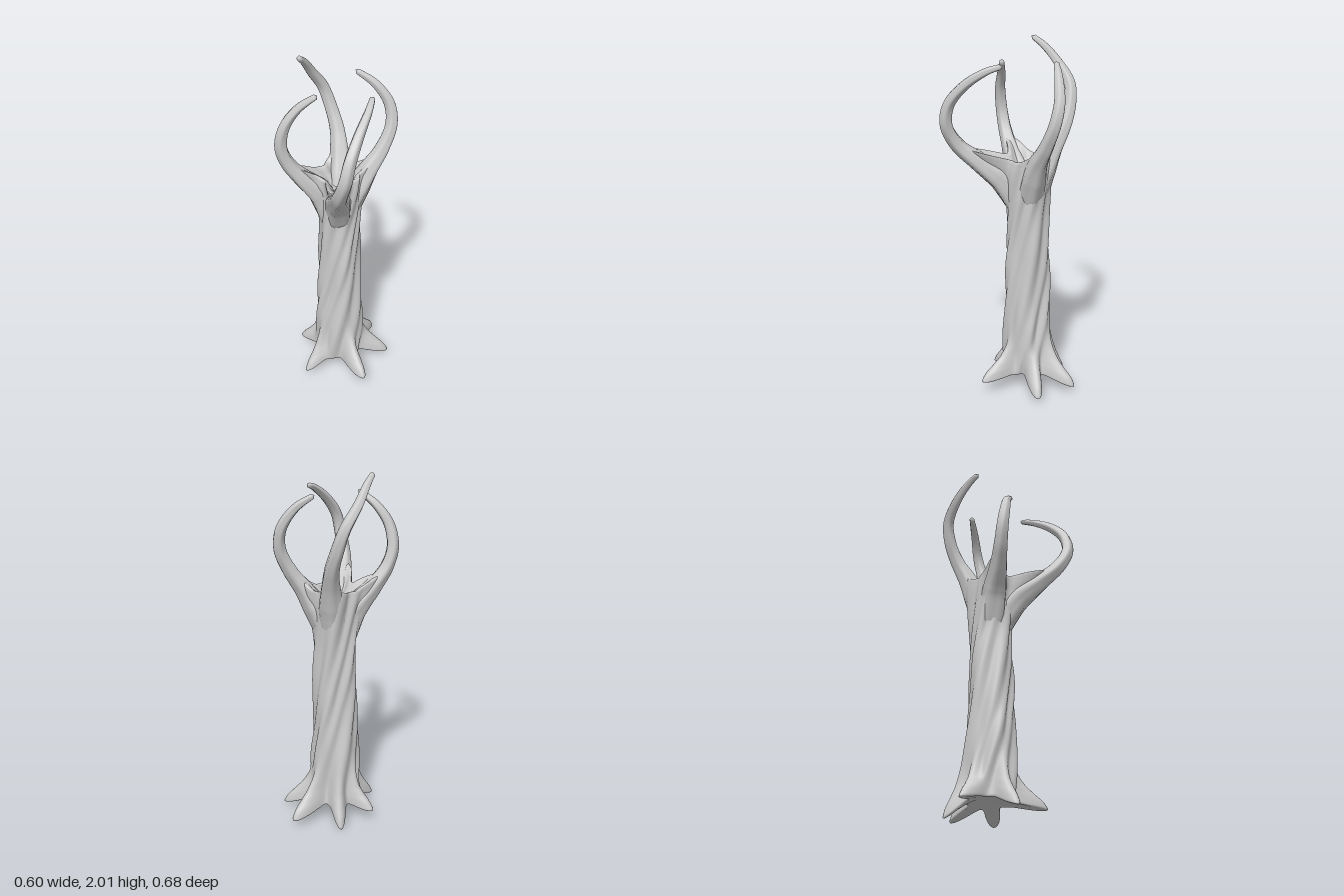
import * as THREE from 'three';
import { mergeVertices } from 'three/addons/utils/BufferGeometryUtils.js';

const CX = -0.04, CZ = -0.018;
const V = (p) => new THREE.Vector3(...p);

// Angular lobe aimed at a point: direction, reach beyond the trunk, height, width
function lobe([x, y, z], baseRadius, width) {
  const dx = x - CX, dz = z - CZ;
  return { angle: Math.atan2(dz, dx), reach: Math.hypot(dx, dz) - baseRadius, y, width };
}

// Tips of the six roots
const roots = [
  [-0.30, 0.07, 0.03], [0.25, 0.08, 0.11], [-0.10, 0.03, 0.25],
  [-0.03, 0.04, -0.34], [0.185, 0.03, -0.22], [-0.24, 0.0, -0.16],
].map((p) => lobe(p, 0.13, 0.22));

// Four ribs of the crown, each running into a branch
const ribs = [
  [0.16, 1.42, 0.235], [-0.17, 1.43, 0.175], [0.085, 1.42, -0.165], [-0.13, 1.46, -0.14],
].map((p) => lobe(p, 0.12, 0.36));

// Trunk profile from the underside to the hollow crown: radius, height, lobe amount
const profile = new THREE.CatmullRomCurve3([
  [0, 0.1, 0], [0.06, 0.1, 0], [0.11, 0.095, 0.4], [0.125, 0.09, 0.8], [0.13, 0.1, 1],
  [0.13, 0.13, 0.9], [0.13, 0.17, 0.6], [0.13, 0.22, 0.3], [0.13, 0.3, 0.1], [0.128, 0.42, 0.03],
  [0.122, 0.6, 0], [0.116, 0.85, 0], [0.114, 1.05, 0], [0.118, 1.18, 0.12], [0.122, 1.27, 0.42],
  [0.122, 1.33, 0.8], [0.118, 1.365, 1], [0.1, 1.36, 0.85], [0.07, 1.31, 0.4],
  [0.04, 1.27, 0.1], [0, 1.26, 0],
].map(V));

function trunkGeometry(rows = 130, cols = 144) {
  const pos = [], index = [];
  for (let i = 0; i <= rows; i++) {
    const p = profile.getPoint(i / rows);
    const low = p.y < 0.7;
    const e = Math.max(0, p.z);
    for (let j = 0; j < cols; j++) {
      const a = (j / cols) * Math.PI * 2;
      let r = Math.max(0, p.x), y = p.y;
      // twisting bark ridges
      const bark = 0.06 * Math.sin(5 * (a + 1.3 * y) + 0.8 * Math.sin(4 * y))
        + 0.05 * Math.sin(9 * (a + 2.1 * y) + Math.sin(6 * y + 2 * a))
        + 0.02 * Math.sin(3 * a - 9 * y);
      r *= 1 + bark;
      for (const l of low ? roots : ribs) {
        const d = Math.atan2(Math.sin(a - l.angle), Math.cos(a - l.angle));
        const k = e * Math.exp(-((d / l.width) ** 2));
        r += k * l.reach;
        y += k * (l.y - (low ? 0.1 : 1.36));
      }
      pos.push(CX + r * Math.cos(a), y, CZ + r * Math.sin(a));
      if (i < rows) {
        const n = (j + 1) % cols, q = i * cols;
        index.push(q + j, q + cols + j, q + n, q + n, q + cols + j, q + cols + n);
      }
    }
  }
  const g = new THREE.BufferGeometry();
  g.setAttribute('position', new THREE.Float32BufferAttribute(pos, 3));
  g.setIndex(index);
  g.computeVertexNormals();
  return g;
}

// Tapered, lightly ridged tube along a path
function branchGeometry(points, steps = 72, sides = 20) {
  const curve = new THREE.CatmullRomCurve3(points.map(V));
  const g = new THREE.TubeGeometry(curve, steps, 1, sides);
  const radii = [0.07, 0.07, 0.066, 0.052, 0.041, 0.035, 0.032, 0.029, 0.025, 0.02, 0.013];
  const pos = g.attributes.position, v = new THREE.Vector3();
  for (let i = 0; i <= steps; i++) {
    const t = i / steps, c = curve.getPointAt(t);
    const s = t * (radii.length - 1), k = Math.min(Math.floor(s), radii.length - 2);
    const r = i === steps ? 0 : THREE.MathUtils.lerp(radii[k], radii[k + 1], s - k);
    for (let j = 0; j <= sides; j++) {
      const n = i * (sides + 1) + j;
      const ridge = 1 + 0.08 * Math.sin(5 * (j / sides) * Math.PI * 2 + 5 * t);
      v.fromBufferAttribute(pos, n).sub(c).multiplyScalar(r * ridge).add(c);
      pos.setXYZ(n, v.x, v.y, v.z);
    }
  }
  g.deleteAttribute('uv');
  g.deleteAttribute('normal');
  const merged = mergeVertices(g, 1e-5);
  merged.computeVertexNormals();
  return merged;
}

// Branch paths, curling inward at the tips
const branches = {
  frontLeftBranch: [[-0.01, 1.1, 0.02], [0.05, 1.25, 0.1], [0.125, 1.35, 0.195], [0.2, 1.45, 0.28],
    [0.258, 1.57, 0.31], [0.268, 1.68, 0.285], [0.255, 1.78, 0.2], [0.225, 1.86, 0.08], [0.19, 1.89, 0]],
  frontRightBranch: [[-0.07, 1.1, 0.02], [-0.1, 1.25, 0.07], [-0.15, 1.36, 0.15], [-0.195, 1.47, 0.215],
    [-0.21, 1.58, 0.245], [-0.185, 1.7, 0.24], [-0.13, 1.8, 0.2], [-0.045, 1.88, 0.145]],
  backLeftBranch: [[-0.02, 1.1, -0.04], [0.03, 1.25, -0.09], [0.07, 1.36, -0.14], [0.105, 1.47, -0.21],
    [0.12, 1.6, -0.27], [0.095, 1.71, -0.28], [0.03, 1.82, -0.24], [-0.055, 1.895, -0.18]],
  backRightBranch: [[-0.06, 1.1, -0.04], [-0.08, 1.25, -0.08], [-0.12, 1.4, -0.13], [-0.17, 1.52, -0.17],
    [-0.22, 1.63, -0.18], [-0.258, 1.75, -0.16], [-0.268, 1.86, -0.08], [-0.25, 1.95, 0], [-0.23, 2.0, 0.065]],
};

export function createModel() {
  const group = new THREE.Group();
  group.name = 'twistedTree';
  const material = new THREE.MeshStandardMaterial({ color: 0xcccccc });
  const add = (name, geometry) => {
    const mesh = new THREE.Mesh(geometry, material);
    mesh.name = name;
    group.add(mesh);
  };
  add('trunkWithRoots', trunkGeometry());
  for (const [name, points] of Object.entries(branches)) add(name, branchGeometry(points));
  return group;
}
